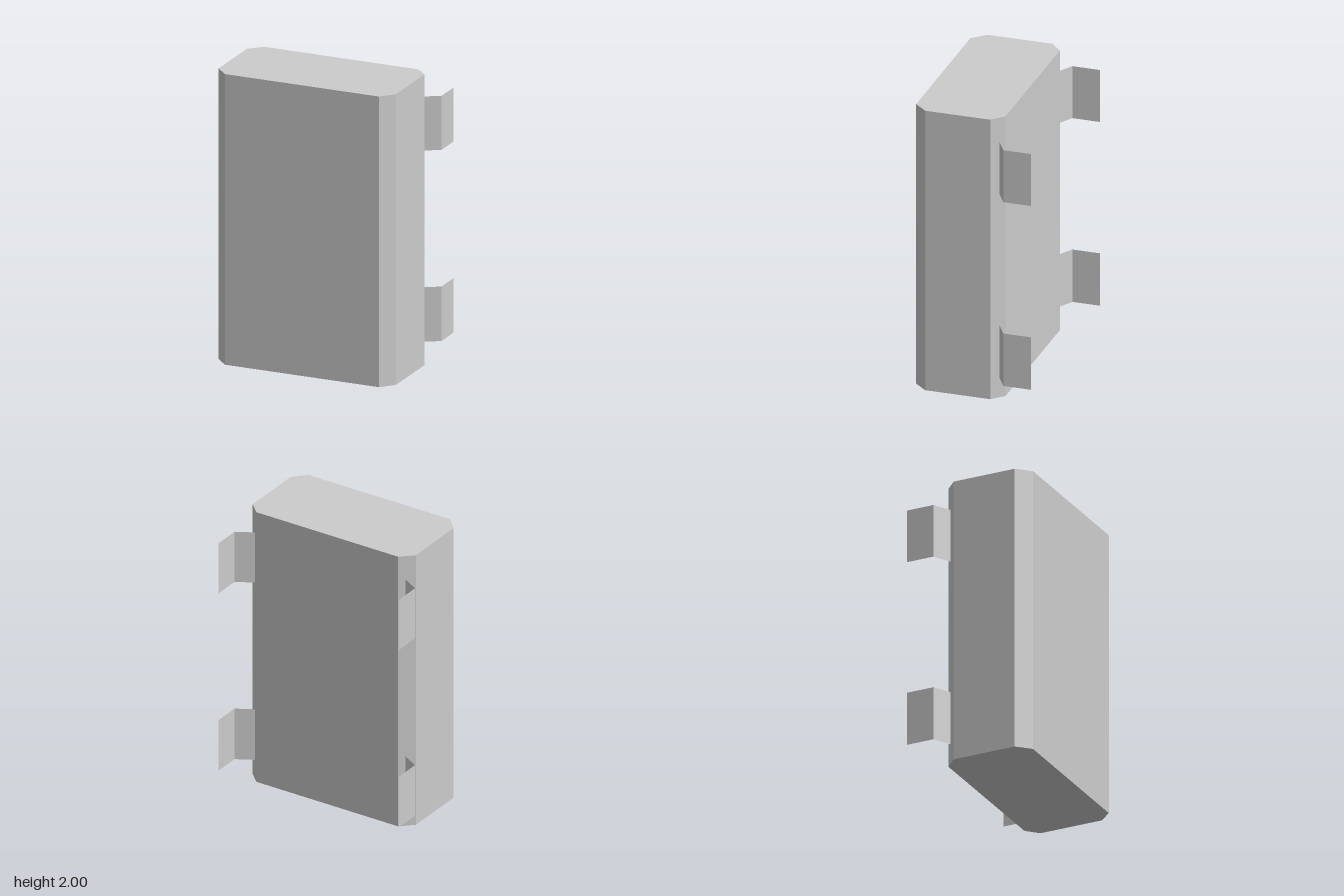
import * as THREE from 'three';

const material = new THREE.MeshStandardMaterial({ color: 0xcccccc, flatShading: true });
const sheetMaterial = new THREE.MeshStandardMaterial({
  color: 0xcccccc, flatShading: true, side: THREE.DoubleSide,
});

// Upright sheet without thickness that follows a plan path of [x, z] points
function foldedSheet(path, y0, y1) {
  const positions = [];
  for (let i = 0; i < path.length - 1; i++) {
    const [ax, az] = path[i];
    const [bx, bz] = path[i + 1];
    positions.push(ax, y0, az, bx, y0, bz, bx, y1, bz);
    positions.push(ax, y0, az, bx, y1, bz, ax, y1, az);
  }
  const geometry = new THREE.BufferGeometry();
  geometry.setAttribute('position', new THREE.Float32BufferAttribute(positions, 3));
  geometry.computeVertexNormals();
  return geometry;
}

export function createModel() {
  const group = new THREE.Group();

  // Body: chamfered rectangle in plan, extruded upward (shape y is -z)
  const plan = [
    [-0.55, -0.42], [0.557, -0.42], [0.637, -0.33], [0.637, 0.118],
    [0.557, 0.195], [-0.55, 0.197], [-0.637, 0.115], [-0.637, -0.33],
  ].map(([x, y]) => new THREE.Vector2(x, y));
  const bodyGeometry = new THREE.ExtrudeGeometry(new THREE.Shape(plan), { depth: 2, bevelEnabled: false });
  bodyGeometry.rotateX(-Math.PI / 2);
  const body = new THREE.Mesh(bodyGeometry, material);
  body.name = 'body';
  group.add(body);

  // Brackets: two on each rear corner, flaring out and then folding straight back
  for (const [side, sideName] of [[1, 'left'], [-1, 'right']]) {
    for (const [y0, y1, level] of [[0.14, 0.515, 'Lower'], [1.455, 1.827, 'Upper']]) {
      const path = [[0.585, -0.163], [0.705, -0.23], [0.705, -0.42]].map(([x, z]) => [side * x, z]);
      const bracket = new THREE.Mesh(foldedSheet(path, y0, y1), sheetMaterial);
      bracket.name = `${sideName}${level}Bracket`;
      group.add(bracket);
    }
  }
  return group;
}
